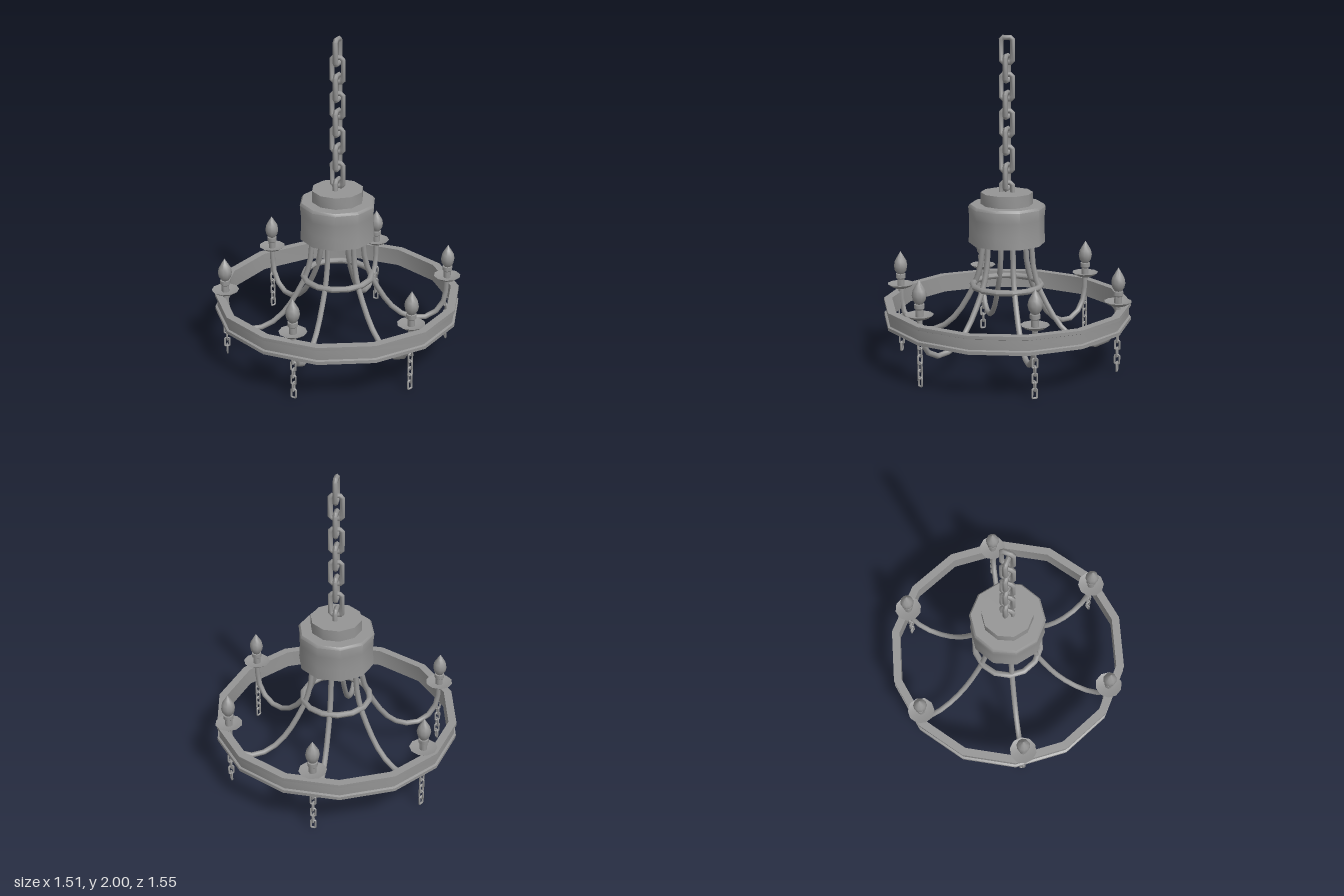
import * as THREE from 'three';
import { toCreasedNormals } from 'three/addons/utils/BufferGeometryUtils.js';

const metal = new THREE.MeshStandardMaterial({ color: 0x949494, side: THREE.DoubleSide });

function add(parent, name, geometry) {
  const mesh = new THREE.Mesh(geometry, metal);
  mesh.name = name;
  parent.add(mesh);
  return mesh;
}

// Turned part from [radius, height] pairs, first corner on the x axis
function turned(profile, sides, crease) {
  const points = profile.map(([r, y]) => new THREE.Vector2(r, y));
  return toCreasedNormals(new THREE.LatheGeometry(points, sides, Math.PI / 2), crease);
}

// Oblong chain link with bevelled corners: an octagonal ring pulled apart sideways and upright
function linkGeometry(ring, wire, widen, stretch) {
  const g = new THREE.TorusGeometry(ring, wire, 6, 8);
  g.rotateZ(Math.PI / 8);
  const p = g.attributes.position;
  for (let i = 0; i < p.count; i++) {
    const x = p.getX(i), y = p.getY(i);
    p.setXY(i, x + Math.sign(x) * widen, y + Math.sign(y) * stretch);
  }
  return toCreasedNormals(g, 1.1);
}

// Links alternating by a quarter turn, counted upwards
function chain(name, geometry, count, bottom, pitch) {
  const group = new THREE.Group();
  group.name = name;
  for (let i = 0; i < count; i++) {
    const link = add(group, 'link', geometry);
    link.position.y = bottom + i * pitch;
    link.rotation.y = i % 2 ? 0 : Math.PI / 2;
  }
  return group;
}

export function createModel() {
  const model = new THREE.Group();
  model.name = 'chandelier';

  // Central housing with a stepped cap
  add(model, 'housing', turned([[0, 0.755], [0.232, 0.755], [0.227, 0.83],
    [0.227, 0.91], [0.233, 0.975], [0.222, 0.99], [0, 0.99]], 10, 0.7));
  add(model, 'cap', turned([[0, 0.98], [0.157, 0.98], [0.157, 1.062], [0, 1.062]], 10, 0.7));

  // Suspension chain
  model.add(chain('mainChain', linkGeometry(0.025, 0.016, 0.012, 0.05), 9, 1.0465, 0.1082));

  // Large hoop with raised lips
  add(model, 'hoop', turned([[0.755, 0.28], [0.755, 0.3], [0.742, 0.305], [0.742, 0.365], [0.755, 0.37],
    [0.755, 0.39], [0.705, 0.39], [0.705, 0.28], [0.755, 0.28]], 14, 0.6));

  // Small hoop tying the arms together
  const tie = new THREE.TorusGeometry(0.21, 0.019, 6, 14);
  tie.rotateX(Math.PI / 2);
  add(model, 'innerHoop', toCreasedNormals(tie, 1.1)).position.y = 0.49;

  // Shared arm pieces
  const path = new THREE.CatmullRomCurve3([[0.155, 0.78], [0.165, 0.62], [0.2, 0.49], [0.27, 0.355],
    [0.335, 0.26], [0.425, 0.185], [0.53, 0.155], [0.62, 0.19], [0.675, 0.27], [0.69, 0.425]]
    .map(([x, y]) => new THREE.Vector3(x, y, 0)));
  const armGeometry = new THREE.TubeGeometry(path, 14, 0.017, 8);
  const dishGeometry = turned([[0, 0.412], [0.035, 0.412], [0.06, 0.422], [0.084, 0.44], [0.04, 0.428], [0, 0.428]], 10, 0.7);
  const socketGeometry = turned([[0.023, 0.425], [0.023, 0.47], [0.031, 0.477], [0.031, 0.502], [0, 0.507]], 10, 0.7);
  const bulbGeometry = turned([[0, 0.5], [0.021, 0.503], [0.037, 0.525], [0.043, 0.555], [0.037, 0.585],
    [0.02, 0.614], [0, 0.647]], 10, 0.8);
  const smallLink = linkGeometry(0.009, 0.0062, 0.006, 0.019);

  // Six arms, each with a dish, a bulb and a hanging chain
  for (let i = 0; i < 6; i++) {
    const arm = new THREE.Group();
    arm.name = 'arm';
    arm.rotation.y = Math.PI / 6 + (i * Math.PI) / 3;
    add(arm, 'curvedArm', armGeometry);
    const light = new THREE.Group();
    light.name = 'light';
    light.position.x = 0.69;
    add(light, 'dish', dishGeometry);
    add(light, 'socket', socketGeometry);
    add(light, 'bulb', bulbGeometry);
    light.add(chain('hangingChain', smallLink, 6, 0.033, 0.045));
    arm.add(light);
    model.add(arm);
  }
  return model;
}
